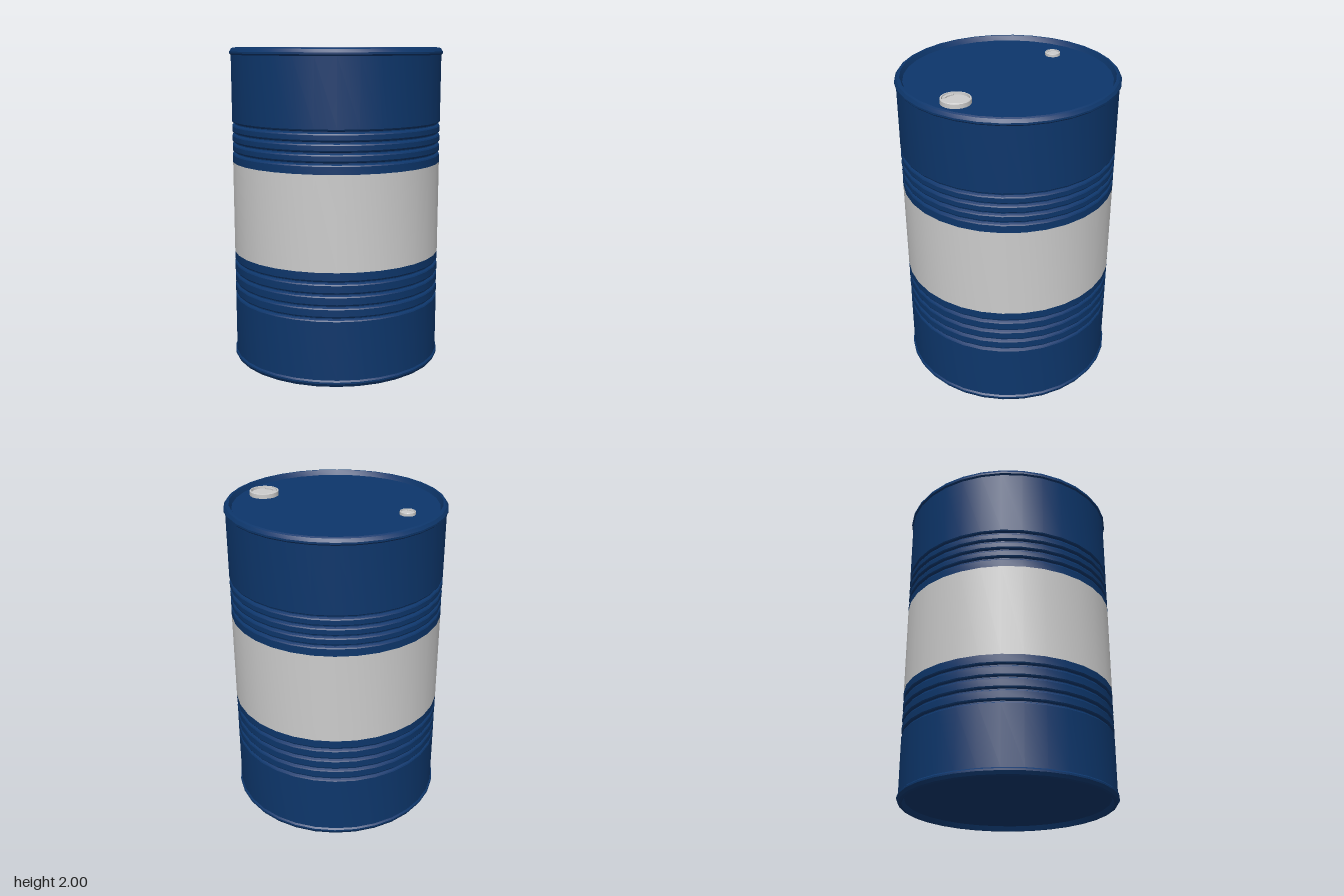
import * as THREE from 'three';
import { toCreasedNormals } from 'three/addons/utils/BufferGeometryUtils.js';

const R = 0.663;
const blue = new THREE.MeshStandardMaterial({ color: 0x0d366b });
const grey = new THREE.MeshStandardMaterial({ color: 0xcccccc });

// Surface of revolution; the profile runs upward so faces point outward
function turned(name, profile, material, segments = 32) {
  const points = profile.map(([r, y]) => new THREE.Vector2(r, y));
  const lathe = new THREE.LatheGeometry(points, segments, -0.03);
  const mesh = new THREE.Mesh(toCreasedNormals(lathe, 0.45), material);
  mesh.name = name;
  return mesh;
}

// Rolled chime and recessed end, from the wall to the centre of the lid
const chime = [
  [R, 1.955], [0.672, 1.964], [0.672, 1.975], [0.66, 1.994], [0.65, 2],
  [0.64, 2], [0.625, 1.97], [0, 1.97],
];

// V groove with softened shoulders
const groove = (y) => [
  [R, y - 0.016], [R - 0.004, y - 0.009], [R - 0.016, y - 0.003],
  [R - 0.016, y + 0.003], [R - 0.004, y + 0.009], [R, y + 0.016],
];

// Screw plug with a raised lip, sunken face and two wrench tabs
function plug(name, x, z, radius, height) {
  const group = new THREE.Group();
  group.name = name;
  group.add(turned('plugBody', [
    [radius, 0], [radius, height * 0.88], [radius * 0.96, height],
    [radius * 0.89, height], [radius * 0.87, height * 0.5], [0, height * 0.5],
  ], grey, 24));

  const tab = new THREE.Shape();
  tab.absarc(0, 0, radius * 0.87, Math.PI / 2 - 0.6, Math.PI / 2 + 0.6, false);
  tab.absarc(0, 0, radius * 0.68, Math.PI / 2 + 0.5, Math.PI / 2 - 0.5, true);
  const geometry = new THREE.ExtrudeGeometry(tab, {
    depth: height * 0.25, bevelEnabled: false, curveSegments: 8,
  });
  geometry.rotateX(-Math.PI / 2);
  for (const turn of [0, Math.PI]) {
    const mesh = new THREE.Mesh(geometry, grey);
    mesh.name = 'wrenchTab';
    mesh.position.y = height * 0.5;
    mesh.rotation.y = turn;
    group.add(mesh);
  }
  group.position.set(x, 1.97, z);
  return group;
}

export function createModel() {
  const drum = new THREE.Group();
  drum.name = 'drum';

  // Bottom end is the mirrored top end
  const foot = chime.map(([r, y]) => [r, 2 - y]).reverse();
  drum.add(turned('lowerBarrel', [
    ...foot, ...[0.427, 0.5, 0.573, 0.647].flatMap(groove), [R, 0.71],
  ], blue));
  drum.add(turned('middleBand', [[R, 0.71], [R, 1.288]], grey));
  drum.add(turned('upperBarrel', [
    [R, 1.288], ...[1.35, 1.41, 1.47, 1.53].flatMap(groove), ...chime,
  ], blue));

  // Lid plugs
  drum.add(plug('largePlug', 0.477, -0.08, 0.09, 0.03));
  drum.add(plug('smallPlug', -0.45, 0.066, 0.047, 0.02));
  return drum;
}
